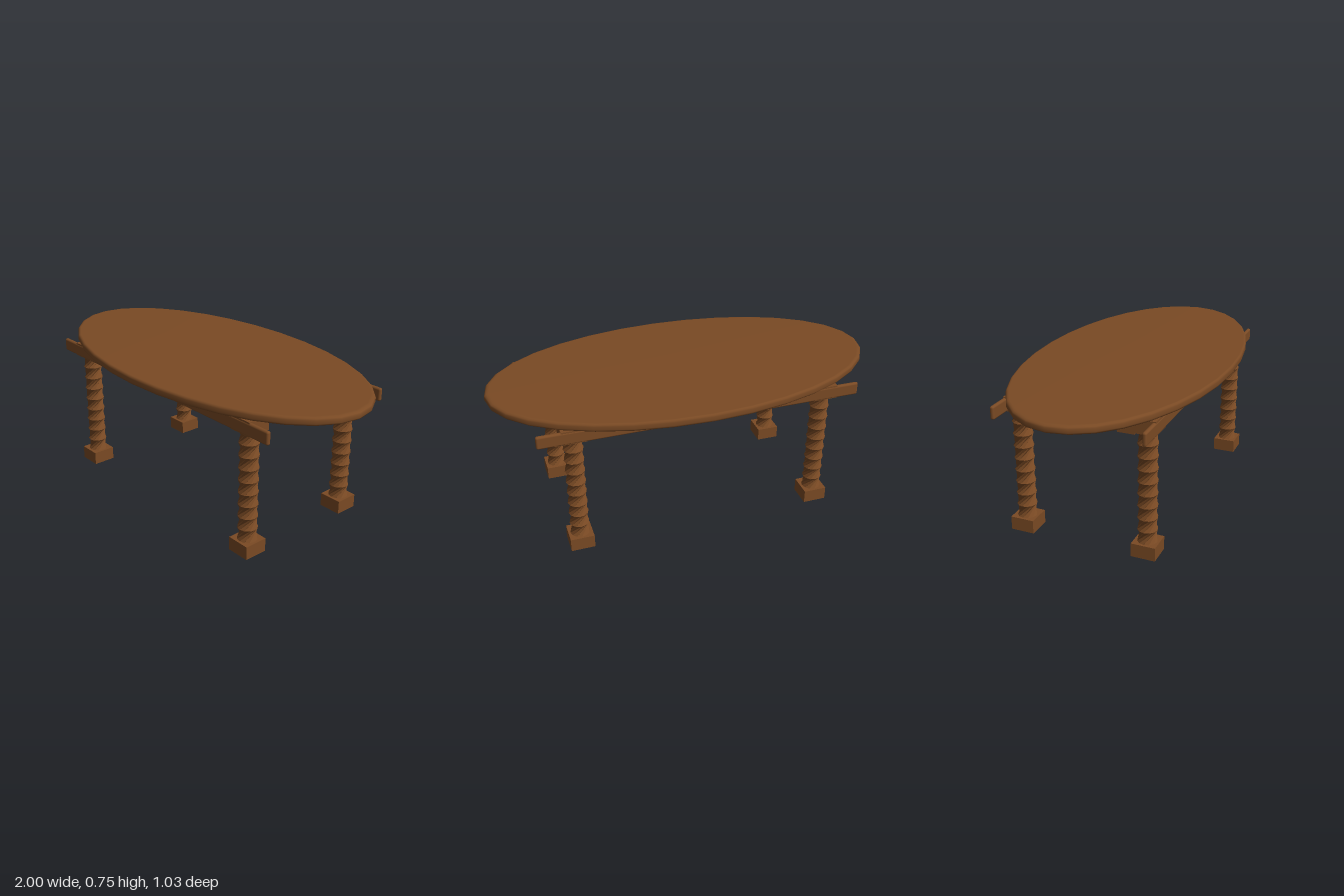
import * as THREE from 'three';
import { RoundedBoxGeometry } from 'three/addons/geometries/RoundedBoxGeometry.js';

const wood = new THREE.MeshStandardMaterial({ color: 0x7a4a24 });
wood.name = 'brown wood';
const carvedWood = wood.clone();
carvedWood.name = 'carved brown wood';
carvedWood.flatShading = true;

const LEG_X = 0.642, LEG_Z = 0.323, BLOCK = 0.122;
const FOOT_TOP = 0.07, SHAFT_TOP = 0.64, TOP_BOTTOM = 0.71;

function part(name, geometry, material, x = 0, y = 0, z = 0) {
  const mesh = new THREE.Mesh(geometry, material);
  mesh.name = name;
  mesh.position.set(x, y, z);
  return mesh;
}

// Elliptical top with a softly rounded rim
function topGeometry() {
  const profile = [
    [0, 0.71], [0.975, 0.71], [0.987, 0.711], [0.996, 0.716], [1, 0.723],
    [1, 0.74], [0.996, 0.747], [0.987, 0.752], [0.975, 0.753], [0, 0.753],
  ].map(([r, y]) => new THREE.Vector2(r, y));
  return new THREE.LatheGeometry(profile, 32).scale(1, 1, 0.516);
}

// Column of nine tiers, each ring turned against the one below
function twistedGeometry() {
  const tiers = 9, twist = Math.PI / 3, height = SHAFT_TOP - FOOT_TOP;
  const geometry = new THREE.CylinderGeometry(0.05, 0.05, height, 12, tiers, true);
  const pos = geometry.attributes.position;
  const axis = new THREE.Vector3(0, 1, 0), v = new THREE.Vector3();
  for (let i = 0; i < pos.count; i++) {
    v.fromBufferAttribute(pos, i);
    v.applyAxisAngle(axis, (v.y / height + 0.5) * tiers * twist);
    pos.setXYZ(i, v.x, v.y, v.z);
  }
  geometry.computeVertexNormals();
  return geometry;
}

export function createModel() {
  const table = new THREE.Group();
  table.name = 'table';
  table.add(part('tableTop', topGeometry(), wood));

  const foot = new THREE.BoxGeometry(BLOCK, FOOT_TOP, BLOCK);
  const head = new THREE.BoxGeometry(BLOCK, TOP_BOTTOM - SHAFT_TOP, BLOCK);
  const shaft = twistedGeometry();
  const rail = new RoundedBoxGeometry(1.64, 0.067, 0.022, 3, 0.01);

  for (const sz of [1, -1]) {
    const side = sz > 0 ? 'front' : 'back';
    // Long rail along the outer faces of the leg blocks
    table.add(part(side + 'Rail', rail, wood, 0, 0.6725, sz * 0.375));

    for (const sx of [1, -1]) {
      const leg = new THREE.Group();
      leg.name = side + (sx > 0 ? 'Left' : 'Right') + 'Leg';
      leg.position.set(sx * LEG_X, 0, sz * LEG_Z);
      leg.add(
        part('foot', foot, wood, 0, FOOT_TOP / 2),
        part('twistedShaft', shaft, carvedWood, 0, (FOOT_TOP + SHAFT_TOP) / 2),
        part('headBlock', head, wood, 0, (SHAFT_TOP + TOP_BOTTOM) / 2),
      );
      table.add(leg);
    }
  }
  return table;
}
